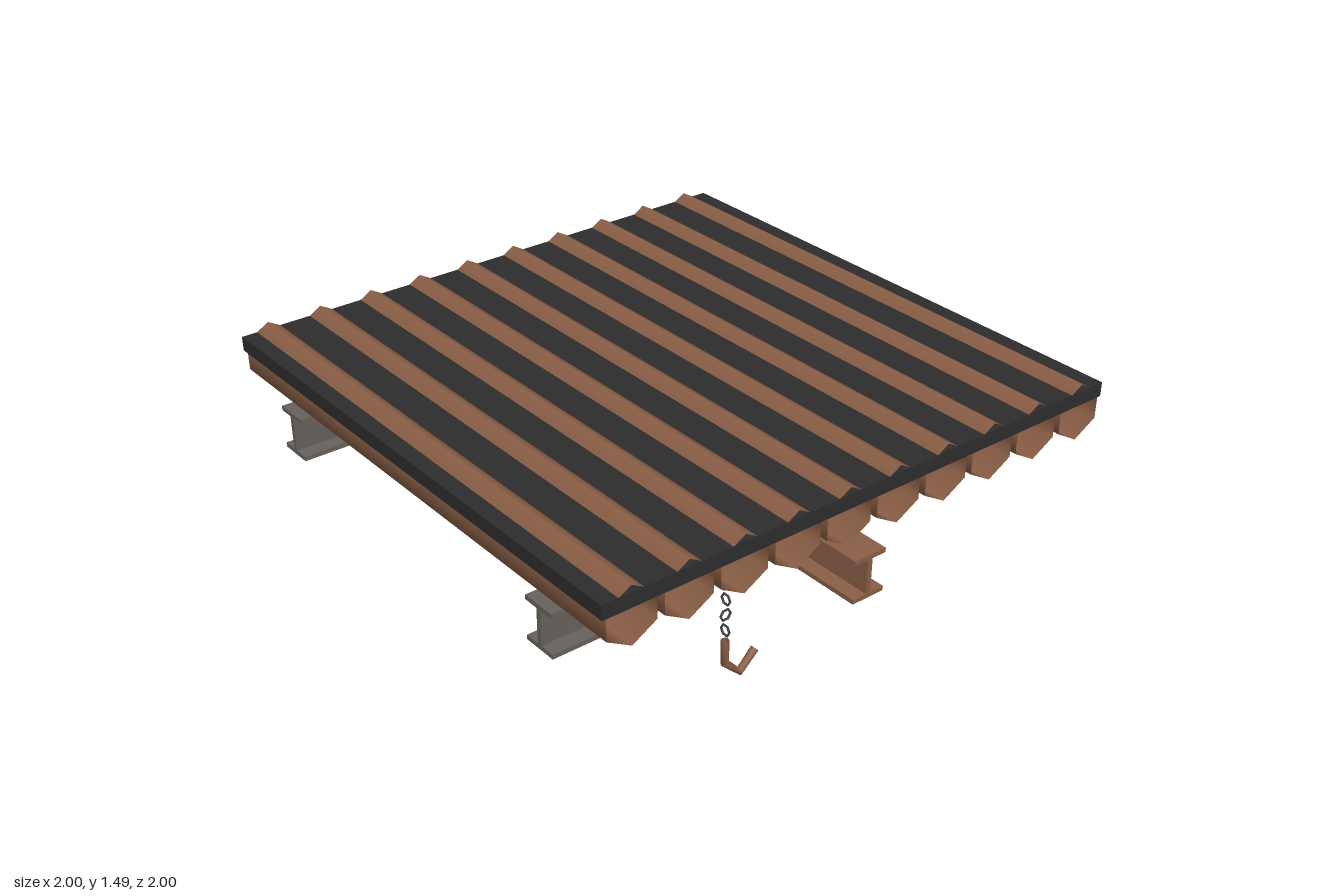
import * as THREE from 'three';
import { ConvexGeometry } from 'three/addons/geometries/ConvexGeometry.js';

const mat = (name, color, side = THREE.FrontSide) => {
  const m = new THREE.MeshStandardMaterial({ color, side });
  m.name = name;
  return m;
};

export function createModel() {
  const model = new THREE.Group();
  model.name = 'ceilingHoist';
  const rust = mat('rust', 0x8b5f46, THREE.DoubleSide);
  const tar = mat('dark roofing', 0x2d2d2d);
  const steel = mat('steel grey', 0x68625d);
  const yellow = mat('hoist yellow', 0xc9b037);
  const chainGrey = mat('chain grey', 0x45454a);

  const add = (name, geometry, material, x = 0, y = 0, z = 0, parent = model) => {
    const mesh = new THREE.Mesh(geometry, material);
    mesh.name = name;
    mesh.position.set(x, y, z);
    parent.add(mesh);
    return mesh;
  };

  // Roof deck with open hexagonal ribs running front to back
  add('roofDeck', new THREE.BoxGeometry(2, 0.05, 2), tar, 0, 1.445, 0);
  const ribGeo = new THREE.CylinderGeometry(0.1, 0.1, 2, 6, 1, true).rotateX(Math.PI / 2);
  for (let i = 0; i < 10; i++) add('roofRib', ribGeo, rust, -0.9 + i * 0.2, 1.395, 0);

  // I-beams: an I profile extruded over the full width
  const w = 0.0625, h = 0.0775, t = 0.016, web = 0.009;
  const half = [[w, -h], [w, -h + t], [web, -h + t], [web, h - t], [w, h - t], [w, h]];
  const outline = [...half, ...half.map(([x, y]) => [-x, y]).reverse()];
  const beamGeo = new THREE.ExtrudeGeometry(
    new THREE.Shape(outline.map(([x, y]) => new THREE.Vector2(x, y))),
    { depth: 2, bevelEnabled: false }
  ).translate(0, 0, -1);
  for (const z of [-0.7, 0.7]) add('crossBeam', beamGeo, steel, 0, 1.233, z).rotation.y = Math.PI / 2;
  add('trolleyBeam', beamGeo, rust, 0, 1.143, 0);

  // Hoist: chamfered housing and chain drum
  const hoist = new THREE.Group();
  hoist.name = 'hoist';
  hoist.position.x = 0.298;
  model.add(hoist);
  const a = 0.123, b = 0.0725, d = 0.0975, c = 0.018;
  const corners = [];
  for (const sx of [-1, 1]) for (const sy of [-1, 1]) for (const sz of [-1, 1]) {
    corners.push(
      new THREE.Vector3(sx * a, sy * (b - c), sz * (d - c)),
      new THREE.Vector3(sx * (a - c), sy * b, sz * (d - c)),
      new THREE.Vector3(sx * (a - c), sy * (b - c), sz * d)
    );
  }
  add('hoistHousing', new ConvexGeometry(corners), yellow, 0, 0.993, 0, hoist);
  const drumGeo = new THREE.CylinderGeometry(0.07, 0.07, 0.148, 12).rotateX(Math.PI / 2);
  add('chainDrum', drumGeo, steel, 0, 0.9, 0, hoist);

  // Chain: links alternate by a quarter turn
  const linkGeo = new THREE.TorusGeometry(0.024, 0.005, 6, 6);
  for (let i = 0; i < 9; i++) {
    const link = add('chainLink', linkGeo, chainGrey, 0, 0.805 - i * 0.07, 0, hoist);
    if (i % 2 === 0) link.rotation.y = Math.PI / 2;
  }

  // Hook: a coarse bent tube
  const path = new THREE.CatmullRomCurve3(
    [[0, 0.2], [0, 0.095], [0.075, 0.02], [0.15, 0.095]].map(([x, y]) => new THREE.Vector3(x, y, 0))
  );
  add('hook', new THREE.TubeGeometry(path, 3, 0.017, 8), rust, 0, 0, 0, hoist);

  return model;
}
